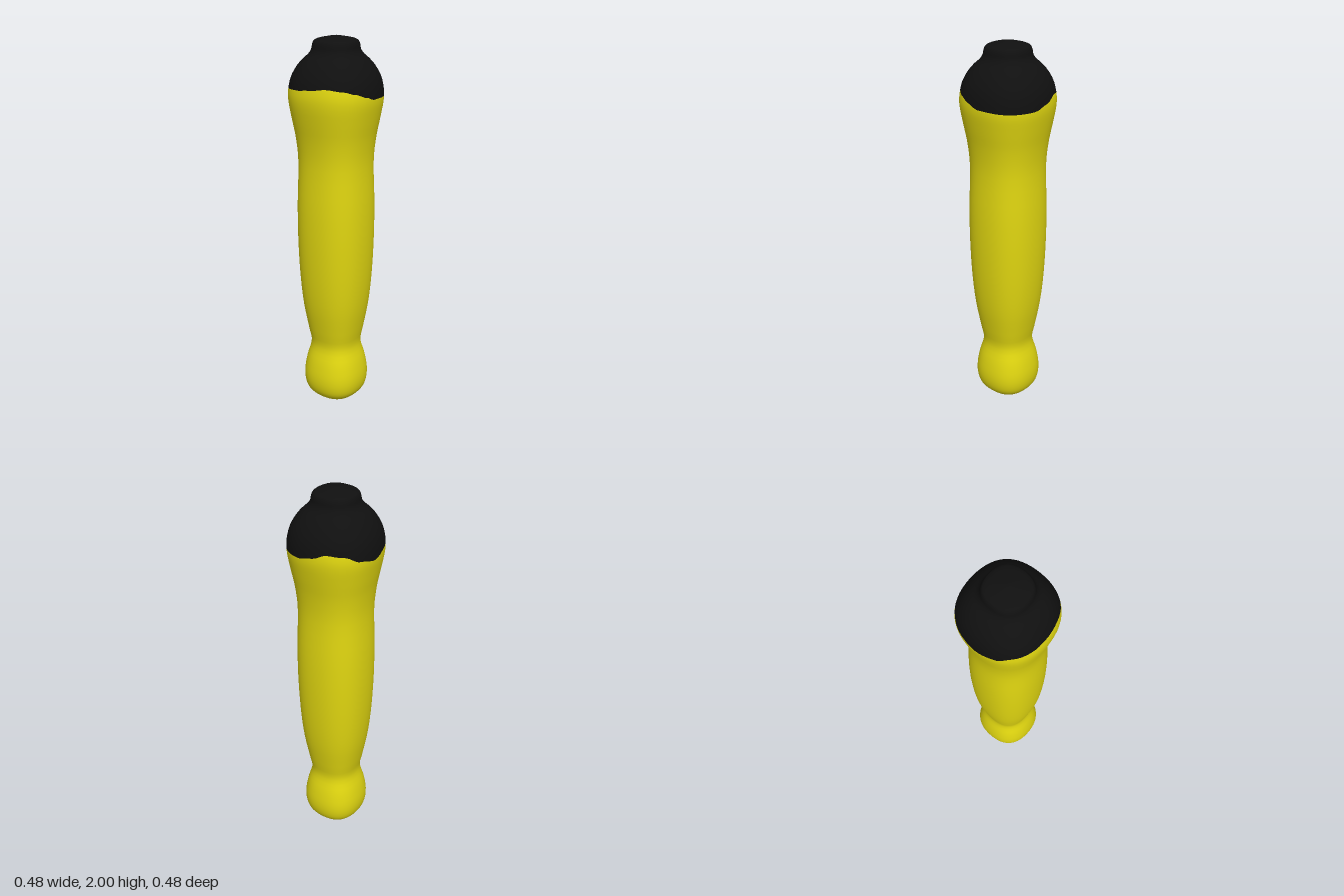
import * as THREE from 'three';

const SIDES = 64;
const SEAM = 1.74, LOW = 1.5, HIGH = 1.87; // seam height and the zone it bends

// Silhouette: radius, height
const profile = new THREE.CatmullRomCurve3([
  [0, 0], [0.06, 0.018], [0.12, 0.04], [0.155, 0.075], [0.17, 0.12], [0.172, 0.18],
  [0.158, 0.26], [0.134, 0.35], [0.149, 0.44], [0.174, 0.58], [0.19, 0.74], [0.199, 0.95],
  [0.199, 1.15], [0.192, 1.38], [0.203, 1.5], [0.222, 1.6], [0.237, 1.69], [0.236, 1.74],
  [0.222, 1.8], [0.195, 1.85], [0.165, 1.885], [0.135, 1.912], [0.121, 1.935],
  [0.116, 1.96], [0.106, 1.977], [0.06, 1.99], [0, 2],
].map(([r, y]) => new THREE.Vector3(r, y, 0)), false, 'centripetal').getPoints(260);

function radiusAt(y) {
  let i = 1;
  while (i < profile.length - 1 && profile[i].y < y) i++;
  const a = profile[i - 1], b = profile[i];
  const t = THREE.MathUtils.clamp((y - a.y) / (b.y - a.y || 1), 0, 1);
  return Math.max(0, THREE.MathUtils.lerp(a.x, b.x, t));
}

// Wavy edge of the cap: degrees around from +x towards +z, height
const wave = [
  [0, 1.707], [45, 1.712], [60, 1.732], [75, 1.752], [90, 1.767], [110, 1.776], [135, 1.764],
  [155, 1.755], [180, 1.75], [200, 1.718], [225, 1.692], [250, 1.715], [270, 1.75],
  [290, 1.757], [310, 1.728], [330, 1.708], [360, 1.707],
];
function seamAt(deg) {
  const i = Math.max(1, wave.findIndex(([d]) => d >= deg));
  const [d0, y0] = wave[i - 1], [d1, y1] = wave[i];
  return THREE.MathUtils.lerp(y0, y1, THREE.MathUtils.smoothstep(deg, d0, d1));
}

// Stretch the rows near the seam so that they follow the wave
function bend(y, seam) {
  if (y <= LOW || y >= HIGH) return y;
  return y < SEAM
    ? LOW + (y - LOW) * (seam - LOW) / (SEAM - LOW)
    : HIGH - (HIGH - y) * (HIGH - seam) / (HIGH - SEAM);
}

export function createModel() {
  const yellow = new THREE.MeshStandardMaterial({ color: 0xe0d610 });
  yellow.name = 'yellow';
  const black = new THREE.MeshStandardMaterial({ color: 0x101010 });
  black.name = 'black';

  // Rings between the two end points, with one ring exactly on the seam
  const rows = profile.filter((p, i) => i % 3 === 0 && p.y > 0.001 && p.y < 1.999
    && Math.abs(p.y - SEAM) > 0.006).map((p) => p.y);
  rows.push(SEAM);
  rows.sort((a, b) => a - b);
  const seamRow = rows.indexOf(SEAM);

  const positions = [];
  for (const y of rows) {
    for (let j = 0; j < SIDES; j++) {
      const angle = j / SIDES * Math.PI * 2;
      const h = bend(y, seamAt(j / SIDES * 360));
      // slightly squared section with its corners on the axes
      const r = radiusAt(h) * (0.974 + 0.026 * Math.cos(4 * angle));
      positions.push(r * Math.cos(angle), h, r * Math.sin(angle));
    }
  }
  const bottom = rows.length * SIDES, top = bottom + 1;
  positions.push(0, 0, 0, 0, 2, 0);

  const index = [];
  for (let j = 0; j < SIDES; j++) index.push(bottom, j, (j + 1) % SIDES);
  let capStart = 0;
  for (let i = 0; i < rows.length - 1; i++) {
    if (i === seamRow) capStart = index.length;
    for (let j = 0; j < SIDES; j++) {
      const k = (j + 1) % SIDES;
      const a = i * SIDES + j, b = i * SIDES + k;
      index.push(a, a + SIDES, b, b, a + SIDES, b + SIDES);
    }
  }
  const last = (rows.length - 1) * SIDES;
  for (let j = 0; j < SIDES; j++) index.push(last + j, top, last + (j + 1) % SIDES);

  const geometry = new THREE.BufferGeometry();
  geometry.setAttribute('position', new THREE.Float32BufferAttribute(positions, 3));
  geometry.setIndex(index);
  geometry.addGroup(0, capStart, 0);
  geometry.addGroup(capStart, index.length - capStart, 1);
  geometry.computeVertexNormals();

  // Yellow grip with a black rounded end
  const handle = new THREE.Mesh(geometry, [yellow, black]);
  handle.name = 'handle';
  const group = new THREE.Group();
  group.name = 'toolHandle';
  group.add(handle);
  return group;
}
